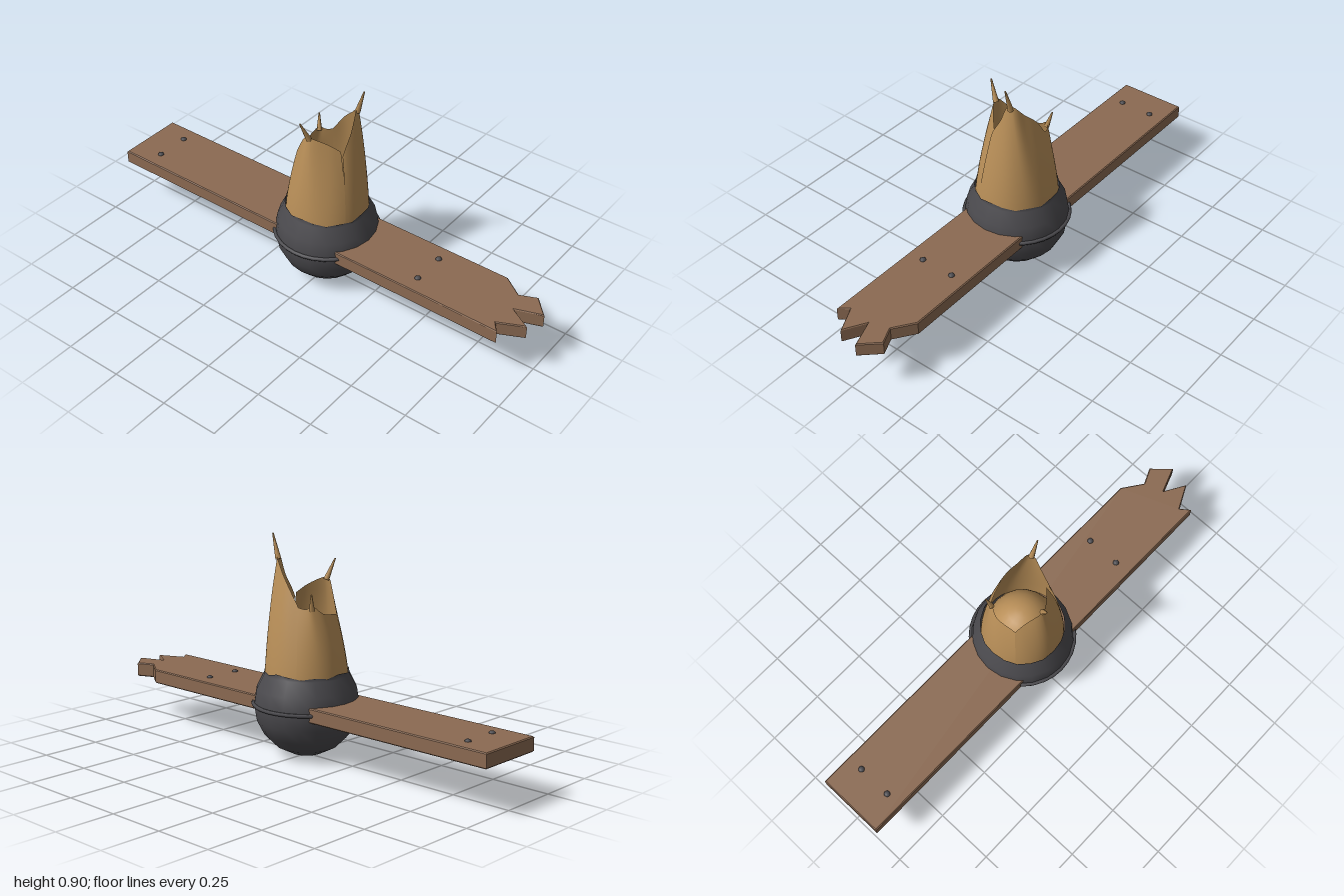
import * as THREE from 'three';

const wood = new THREE.MeshStandardMaterial({ color: 0x8b6a52 });
const iron = new THREE.MeshStandardMaterial({ color: 0x4b4a4e });
const husk = new THREE.MeshStandardMaterial({ color: 0xb98f58, side: THREE.DoubleSide });
const shellMat = new THREE.MeshStandardMaterial({ color: 0x4b4a4e, side: THREE.DoubleSide });

function add(parent, name, geometry, material, x = 0, y = 0, z = 0) {
  const mesh = new THREE.Mesh(geometry, material);
  mesh.name = name;
  mesh.position.set(x, y, z);
  parent.add(mesh);
  return mesh;
}

// Plank outline in (x, z), with a splintered front end
function plankGeometry() {
  const outline = [
    [-0.145, -1], [0.145, -1], [0.145, 0.775], [0.085, 0.86], [0.116, 0.93], [0.04, 1],
    [0, 0.89], [-0.053, 0.98], [-0.105, 0.875], [-0.145, 0.905],
  ].map(([x, z]) => new THREE.Vector2(x, z));
  const b = 0.004;
  return new THREE.ExtrudeGeometry(new THREE.Shape(outline), {
    depth: 0.06 - 2 * b, bevelEnabled: true, bevelSize: b, bevelThickness: b, bevelOffset: -b, bevelSegments: 1,
  }).rotateX(Math.PI / 2).translate(0, 0.25 - b, 0);
}

// Round bowl, open at the top, with an uneven rim
function shellGeometry() {
  const R = 0.215, segs = 20;
  const profile = [];
  for (let i = 0; i <= 7; i++) {
    const a = i * Math.PI / 10;
    profile.push(new THREE.Vector2(R * Math.sin(a), 0.218 - R * Math.cos(a)));
  }
  profile.push(new THREE.Vector2(0.173, 0.358));
  const geo = new THREE.LatheGeometry(profile, segs);
  const pos = geo.attributes.position;
  const wave = [0.007, 0.002, -0.006, 0.001, -0.005];
  for (let i = 0; i < pos.count; i++) {
    if (pos.getY(i) > 0.355) pos.setY(i, 0.358 + wave[Math.floor(i / profile.length) % 5]);
  }
  return geo;
}

// Leaf: columns rise from the base circle and lean in to a curved rim
function leafGeometry(rim, fromDeg, toDeg) {
  const curve = new THREE.CatmullRomCurve3(rim.map(p => new THREE.Vector3(...p)));
  const cols = (rim.length - 1) * 4, rows = 10, pos = [], index = [];
  const y0 = 0.3, r0 = 0.171;
  for (let c = 0; c <= cols; c++) {
    const p = curve.getPoint(c / cols);
    const base = THREE.MathUtils.degToRad(THREE.MathUtils.lerp(fromDeg, toDeg, c / cols));
    let top = Math.atan2(p.x, p.z);
    top += Math.round((base - top) / (2 * Math.PI)) * 2 * Math.PI;
    const rTop = Math.hypot(p.x, p.z);
    for (let r = 0; r <= rows; r++) {
      const t = r / rows;
      const rad = r0 + (rTop - r0) * t ** 1.45;
      const a = base + (top - base) * t ** 1.4;
      pos.push(rad * Math.sin(a), y0 + (p.y - y0) * t, rad * Math.cos(a));
      if (c < cols && r < rows) {
        const i = c * (rows + 1) + r, j = i + rows + 1;
        index.push(i, j, j + 1, i, j + 1, i + 1);
      }
    }
  }
  const geo = new THREE.BufferGeometry();
  geo.setAttribute('position', new THREE.Float32BufferAttribute(pos, 3));
  geo.setIndex(index);
  geo.computeVertexNormals();
  return geo;
}

// Thin curled point at the end of a leaf
function addSpike(parent, from, to, radius) {
  const a = new THREE.Vector3(...from), b = new THREE.Vector3(...to);
  const dir = b.clone().sub(a);
  const mesh = add(parent, 'leafTip', new THREE.CylinderGeometry(0.003, radius, dir.length(), 8), husk);
  mesh.position.copy(a).add(b).multiplyScalar(0.5);
  mesh.quaternion.setFromUnitVectors(new THREE.Vector3(0, 1, 0), dir.normalize());
}

export function createModel() {
  const model = new THREE.Group();
  model.name = 'plantedBud';

  // Plank and its bolts
  add(model, 'plank', plankGeometry(), wood);
  for (const z of [-0.865, 0.5]) {
    for (const x of [-0.073, 0.073]) {
      add(model, 'bolt', new THREE.SphereGeometry(0.013, 10, 6).scale(1, 0.7, 1), iron, x, 0.25, z);
    }
  }

  // Bowl and the seam ring around its middle
  add(model, 'bowl', shellGeometry(), shellMat);
  add(model, 'seamRing', new THREE.TorusGeometry(0.217, 0.008, 6, 32).rotateX(Math.PI / 2), iron, 0, 0.22, 0);

  // Bud: three wrapping leaves around a low core
  const bud = new THREE.Group();
  bud.name = 'bud';
  model.add(bud);
  const leaves = [
    {
      name: 'frontLeaf', from: -27, to: 120, radius: 0.012,
      rim: [[-0.043, 0.64, 0.108], [-0.03, 0.67, 0.11], [0.005, 0.73, 0.112], [0.043, 0.815, 0.108], [0.062, 0.815, 0.102],
        [0.083, 0.765, 0.06], [0.1, 0.715, 0.01], [0.1, 0.63, -0.05]],
      neck: [0.053, 0.8, 0.106], tip: [0.052, 0.902, 0.137],
    },
    {
      name: 'backLeaf', from: 120, to: 214, radius: 0.011,
      rim: [[0.1, 0.63, -0.05], [0.088, 0.625, -0.08], [0.079, 0.635, -0.094], [0.066, 0.635, -0.1], [0.03, 0.605, -0.115], [-0.06, 0.59, -0.105]],
      neck: [0.073, 0.62, -0.097], tip: [0.09, 0.687, -0.11],
    },
    {
      name: 'sideLeaf', from: 214, to: 336, radius: 0.012,
      rim: [[-0.06, 0.59, -0.105], [-0.08, 0.65, -0.07], [-0.113, 0.72, -0.015], [-0.11, 0.72, 0.006], [-0.07, 0.69, 0.06], [-0.037, 0.655, 0.095]],
      neck: [-0.109, 0.71, -0.004], tip: [-0.145, 0.795, -0.02],
    },
  ];
  for (const leaf of leaves) {
    add(bud, leaf.name, leafGeometry(leaf.rim, leaf.from, leaf.to), husk);
    addSpike(bud, leaf.neck, leaf.tip, leaf.radius);
  }
  add(bud, 'budCore', new THREE.SphereGeometry(0.15, 20, 8, 0, Math.PI * 2, 0, Math.PI / 2).scale(1, 1.3, 1), husk, 0, 0.32, 0);

  return model;
}
